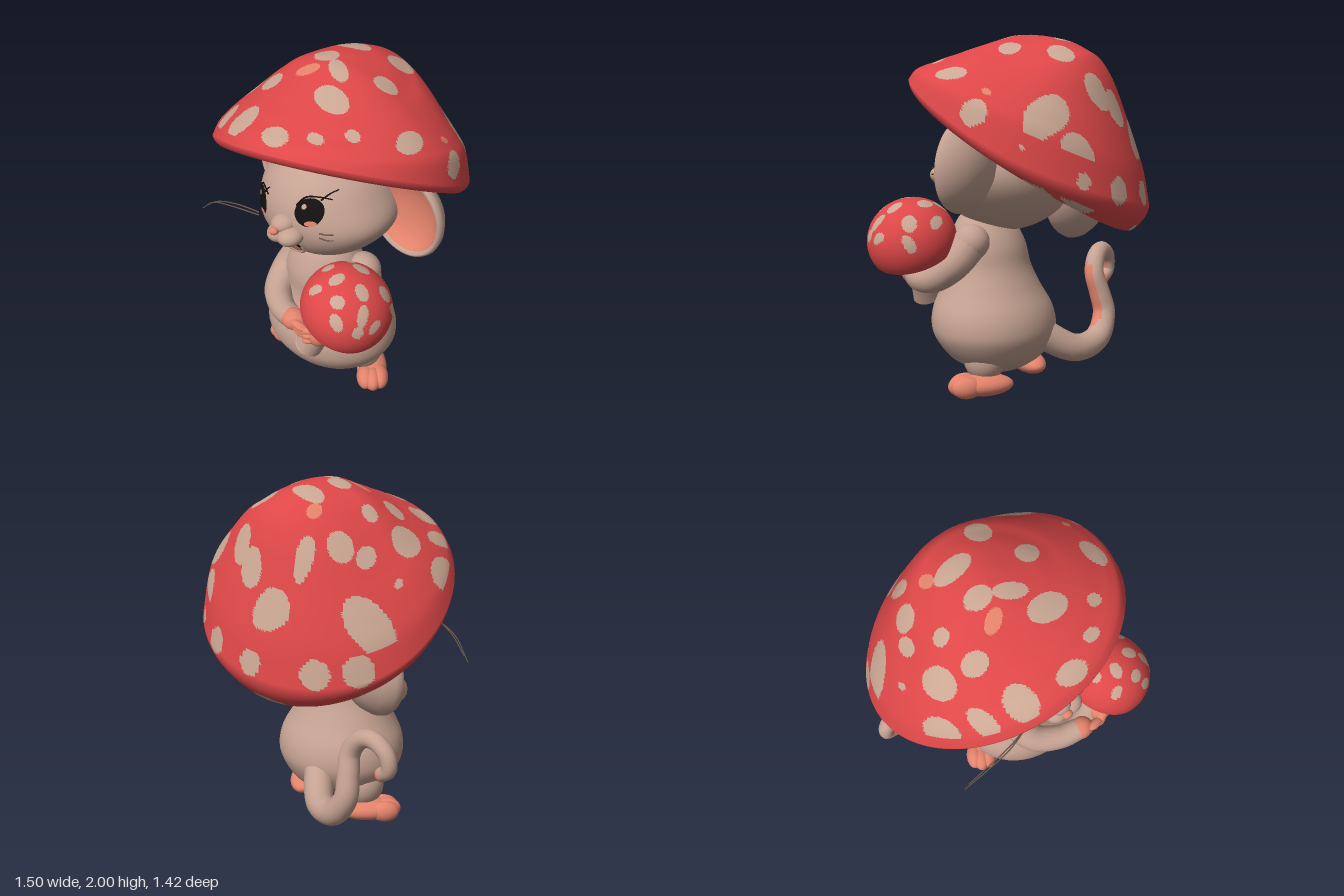
import * as THREE from 'three';
import { mergeVertices } from 'three/addons/utils/BufferGeometryUtils.js';

const V = (x, y, z) => new THREE.Vector3(x, y, z);
const flat = (name, color) => {
  const m = new THREE.MeshStandardMaterial({ color });
  m.name = name;
  return m;
};

export function createModel() {
  const fur = flat('fur', 0xc5a292), pink = flat('pink skin', 0xe3836b), red = flat('cap red', 0xde4748);
  const spot = flat('cap spot', 0xcba793), gill = flat('gill', 0xab9585), black = flat('eye black', 0x141010);
  const whiskerMat = flat('whisker', 0x6b564b);
  const root = new THREE.Group();
  root.name = 'mushroomMouse';

  // ---------- helpers ----------
  const add = (name, geo, mat, parent = root) => {
    const m = new THREE.Mesh(geo, mat);
    m.name = name;
    parent.add(m);
    return m;
  };
  const ball = (name, p, s, mat, parent = root, rot = [0, 0, 0]) => {
    const m = add(name, new THREE.SphereGeometry(1, 32, 22), mat, parent);
    m.position.set(...p); m.scale.set(...s); m.rotation.set(...rot);
    return m;
  };
  const smooth = (g) => {
    g.deleteAttribute('uv'); g.deleteAttribute('normal');
    g = mergeVertices(g, 1e-5);
    g.computeVertexNormals();
    return g;
  };
  // Sort faces into material groups by a rule on face centre and normal
  const paint = (geo, count, pick) => {
    const b = Array.from({ length: count }, () => []), id = geo.index.array, t = new THREE.Triangle();
    for (let i = 0; i < id.length; i += 3) {
      t.setFromAttributeAndIndices(geo.attributes.position, id[i], id[i + 1], id[i + 2]);
      b[pick(t.getMidpoint(V()), t.getNormal(V()))].push(id[i], id[i + 1], id[i + 2]);
    }
    geo.setIndex(b.flat());
    let start = 0;
    b.forEach((f, i) => { geo.addGroup(start, f.length, i); start += f.length; });
    return geo;
  };
  // Closed ring surface: fn(u, angle, j) -> [x, y, z]
  const rings = (nu, nv, fn) => {
    const p = [], id = [];
    for (let i = 0; i <= nu; i++) for (let j = 0; j < nv; j++) p.push(...fn(i / nu, j / nv * Math.PI * 2, j));
    for (let i = 0; i < nu; i++) for (let j = 0; j < nv; j++) {
      const k = (j + 1) % nv, a = i * nv + j, b = i * nv + k, c = a + nv, d = b + nv;
      id.push(a, b, c, b, d, c);
    }
    const g = new THREE.BufferGeometry();
    g.setAttribute('position', new THREE.Float32BufferAttribute(p, 3));
    g.setIndex(id);
    g.computeVertexNormals();
    return g;
  };
  // Tube whose radius runs from r0 to r1
  const taper = (pts, r0, r1, n = 32, sides = 16) => {
    const c = new THREE.CatmullRomCurve3(pts.map((p) => V(...p)));
    const g = new THREE.TubeGeometry(c, n, 1, sides), pos = g.attributes.position, v = V();
    for (let i = 0; i < pos.count; i++) {
      const u = Math.floor(i / (sides + 1)) / n, o = c.getPointAt(u);
      v.fromBufferAttribute(pos, i).sub(o).multiplyScalar(r0 + (r1 - r0) * u).add(o);
      pos.setXYZ(i, v.x, v.y, v.z);
    }
    return smooth(g);
  };
  const inSpots = (list, x, z) => list.some(([cx, cz, rx, rz, a = 0]) => {
    const c = Math.cos(a), s = Math.sin(a), dx = x - cx, dz = z - cz;
    return ((dx * c + dz * s) / rx) ** 2 + ((dz * c - dx * s) / rz) ** 2 < 1;
  });

  // ---------- big cap: tilted oval rim, four blended side profiles ----------
  const knots = [0, .15, .35, .5, .6, .7, .8, .88, .95, 1];
  const profiles = [
    [1, .97, .88, .77, .70, .61, .51, .42, .30, 0],
    [1, .97, .77, .62, .51, .42, .31, .24, .14, 0],
    [1, .98, .90, .77, .66, .54, .42, .30, .17, 0],
    [1, .99, .96, .91, .86, .74, .54, .37, .2, 0],
  ].map((f) => new THREE.SplineCurve(f.map((y, i) => new THREE.Vector2(knots[i], y))));
  const capXZ = (r, a) => [-.015 + .73 * r * Math.cos(a), -.055 + .655 * r * Math.sin(a)];
  const plane = (x, z) => 1.4 + .18 * x + .58 * z;
  // Rim curls under further at the back
  const rim = (a) => {
    const b = Math.max(0, -Math.sin(a)) ** 2;
    return { y: plane(...capXZ(1, a)) + .1 * b, drop: .055 + .09 * b, inset: .035 + .1 * b };
  };
  const capGeo = rings(120, 230, (u, a) => {
    const t = u * 1.08, e = rim(a);
    if (t > 1) {
      const k = (t - 1) / .08, [x, z] = capXZ(1 - e.inset * k * k, a);
      return [x, e.y - e.drop * k, z];
    }
    const c = Math.cos(a), s = Math.sin(a), w = [c, s, -c, -s].map((q) => Math.max(0, q) ** 2);
    let r = 0, f = 0;
    profiles.forEach((p, i) => { const q = p.getPoint(t); r += w[i] * q.x; f += w[i] * q.y; });
    const [x, z] = capXZ(r, a);
    return [x, e.y + (1.995 - e.y) * f, z];
  });
  const spots = [
    [-.19, -.6, .11, .035, -.35], [0, -.57, .08, .035, .1], [.13, -.52, .08, .04, .4], [.42, -.55, .11, .045, .5],
    [.48, -.4, .14, .055, .5], [.17, -.33, .07, .075], [-.08, -.245, .11, .06, .05], [-.28, -.45, .042, .06, .2],
    [-.375, -.29, .05, .07, .5], [-.46, -.19, .033, .06, .1], [-.6, -.3, .14, .055, -.75], [-.34, -.05, .04, .045],
    [-.595, -.09, .013, .03], [-.48, .08, .065, .1, -.2], [-.61, .23, .05, .11, -.3], [-.45, .37, .045, .1, -.2],
    [-.265, .44, .075, .1, -.2], [-.31, .16, .07, .055, .5], [-.1, -.04, .075, .06, .2], [.04, .04, .09, .045, .6],
    [.13, .21, .11, .07, .2], [.26, -.07, .065, .06], [.55, .12, .053, .09], [.35, .32, .04, .035],
  ].concat([[.21, .44, .05, .032], [.01, .51, .085, .055, .2]]);
  const warmSpots = [[-.2, -.31, .035, .045], [-.12, .09, .065, .04, -.4], [.6, -.12, .018, .025]];
  // Round spots low on the steep sides
  const sideSpots = [[.66, 1.59, -.09, .075], [-.47, 1.13, -.56, .08], [-.63, 1.15, -.4, .085], [.18, 1.18, -.68, .075],
    [.42, 1.25, -.6, .05], [-.12, 1.14, -.7, .07], [.6, 1.42, -.32, .035]].map(([x, y, z, r]) => new THREE.Sphere(V(x, y, z), r));
  paint(capGeo, 3, (c) => {
    if (sideSpots.some((s) => s.containsPoint(c))) return 1;
    if (Math.hypot((c.x + .015) / .73, (c.z + .055) / .655) > .955) return 0;
    return inSpots(warmSpots, c.x, c.z) ? 2 : inSpots(spots, c.x, c.z) ? 1 : 0;
  });
  add('cap', capGeo, [red, spot, pink]);
  // Pleated underside
  const gills = rings(10, 160, (u, a, j) => {
    const e = rim(a), [x, z] = capXZ((1 - e.inset) * (1 - .8 * u), a), k = Math.min(1, u * 2.5);
    const pleat = (j % 2 ? .009 : -.004) * Math.min(1, u * 8);
    return [x, (e.y - e.drop) * (1 - k) + (plane(x, z) - .055 + .08 * u) * k + pleat, z];
  }).toNonIndexed();
  gills.computeVertexNormals();
  add('capGills', gills, gill);

  // ---------- body ----------
  const outline = [[0, .09], [.12, .1], [.22, .14], [.31, .2], [.38, .3], [.395, .38], [.375, .47], [.315, .58],
    [.265, .7], [.245, .82], [.2, .92], [.13, 1], [0, 1.03]];
  const curve = new THREE.SplineCurve(outline.map((p) => new THREE.Vector2(...p)));
  const prof = curve.getPoints(60).map((p) => new THREE.Vector2(Math.max(0, p.x), p.y));
  prof[0].x = prof[60].x = 0;
  const bodyGeo = new THREE.LatheGeometry(prof, 48), bp = bodyGeo.attributes.position;
  for (let i = 0; i < bp.count; i++) {
    const y = bp.getY(i);
    bp.setXYZ(i, bp.getX(i) + .07, y, bp.getZ(i) * .87 + .14 + .1 * (y - .4));
  }
  add('body', smooth(bodyGeo), fur);

  // ---------- legs and splayed feet ----------
  for (const [side, x] of [[1, .325], [-1, -.235]]) {
    ball('leg', [x - side * .06, .2, .09], [.115, .13, .12], fur);
    const foot = new THREE.Group();
    foot.name = 'foot';
    foot.position.set(x, 0, .08);
    foot.rotation.y = side * .7;
    root.add(foot);
    ball('footSole', [0, .063, -.01], [.09, .063, .175], pink, foot);
    for (const t of [-1, 0, 1]) ball('toe', [t * .042, .062, .1 - Math.abs(t) * .015], [.052, .062, .085], pink, foot);
  }

  // ---------- tail ----------
  const tail = taper([[0, .32, -.1], [-.18, .2, -.26], [-.36, .23, -.32], [-.455, .36, -.32], [-.445, .48, -.295],
    [-.43, .6, -.265], [-.49, .69, -.25], [-.58, .715, -.245], [-.675, .66, -.24], [-.69, .575, -.235],
    [-.635, .53, -.23]], .09, .04, 70, 20);
  paint(tail, 2, (c, n) => (n.x * .87 + n.z * .5 > .68 && c.y > .23 && c.y < .66 ? 1 : 0));
  add('tail', tail, [fur, pink]);
  ball('tailTip', [-.635, .53, -.23], [.041, .041, .041], pink);

  // ---------- arms and hands ----------
  const arms = [
    [[-.06, .88, .2], [-.13, .76, .27], [-.1, .68, .41], [.02, .67, .51], [.12, .69, .55]],
    [[.3, .86, .15], [.37, .74, .22], [.385, .65, .35], [.36, .64, .46], [.29, .67, .53]],
  ];
  for (const pts of arms) {
    add('arm', taper(pts, .1, .064), fur);
    ball('shoulder', pts[0], [.101, .101, .101], fur);
  }
  ball('hand', [.135, .69, .555], [.075, .06, .065], pink);
  ball('hand', [.3, .67, .545], [.065, .08, .065], pink);
  for (let i = 0; i < 3; i++) {
    ball('finger', [.21, .712 - i * .03, .6 - i * .008], [.055, .022, .026], pink, root, [0, .1, -.25]);
    ball('finger', [.275, .71 - i * .035, .585], [.05, .022, .03], pink, root, [0, .4, .4]);
  }

  // ---------- held mushroom ----------
  const held = new THREE.Group();
  held.name = 'heldMushroom';
  held.position.set(.425, .87, .46);
  held.rotation.z = -.48;
  root.add(held);
  const heldSpots = [[.02, .03, .05, .035, .4], [-.12, .06, .03, .045], [.11, .1, .05, .03, .8], [-.03, .15, .04, .03],
    [.04, .205, .045, .02], [-.16, .145, .03, .022, .7], [.19, .06, .02, .04], [.1, -.1, .045, .04], [-.08, -.1, .05, .035],
    [-.205, 0, .02, .04], [.15, .15, .03, .02, -.7], [0, -.2, .05, .02], [-.16, -.13, .03, .03], [.18, -.12, .025, .035]];
  const heldCap = rings(50, 110, (u, a) => {
    const t = u * 1.85;
    return [.25 * Math.sin(t) * Math.cos(a), .23 * Math.cos(t), .25 * Math.sin(t) * Math.sin(a)];
  });
  add('heldCap', paint(heldCap, 2, (c) => (c.y > .06 && inSpots(heldSpots, c.x, c.z) ? 1 : 0)), [red, spot], held);
  add('heldGills', rings(6, 60, (u, a) => {
    const r = .241 * (1 - u);
    return [r * Math.cos(a), -.0634 + .05 * u, r * Math.sin(a)];
  }), gill, held);
  add('heldStem', taper([[.2, .5, .51], [.25, .6, .5], [.33, .74, .48], [.42, .88, .46]], .08, .058), fur);
  ball('stemBase', [.2, .505, .51], [.081, .03, .081], fur, root, [0, 0, -.45]);

  // ---------- head: rolled and turned a little, fuller at the cheeks ----------
  const head = new THREE.Group();
  head.name = 'head';
  head.position.set(.02, 1.24, .1);
  head.rotation.set(0, -.2, .25);
  root.add(head);
  const R = [.38, .34, .37];
  const full = (y) => 1 + .15 * Math.exp(-(((y + .14) / .13) ** 2));
  const faceZ = (x, y) => R[2] * Math.sqrt(Math.max(0, 1 - (x / full(y) / R[0]) ** 2 - (y / R[1]) ** 2));
  const skull = new THREE.SphereGeometry(1, 64, 48).scale(...R), sp = skull.attributes.position;
  for (let i = 0; i < sp.count; i++) sp.setX(i, sp.getX(i) * full(sp.getY(i)));
  add('skull', smooth(skull), fur, head);

  // Thin patches that follow the face
  const decal = (name, x, y, rx, ry, mat, off) => {
    const g = new THREE.RingGeometry(0, 1, 28, 5), p = g.attributes.position;
    for (let i = 0; i < p.count; i++) {
      const px = x + p.getX(i) * rx, py = y + p.getY(i) * ry;
      p.setXYZ(i, px, py, faceZ(px, py) + off);
    }
    g.computeVertexNormals();
    add(name, g, mat, head);
  };
  const line = (name, pts, r, mat) => add(name, taper(pts, r, r * .6, 14, 6), mat, head);
  for (const s of [1, -1]) {
    const x = s * .178 + .038, on = (dx, dy) => [x + dx, .06 + dy, faceZ(x + dx, .06 + dy) + .004];
    decal('eye', x, .06, .068, .075, black, .005);
    decal('eyeGlint', x - .018, .095, .012, .014, spot, .009);
    decal('eyeGlow', x + .012, .004, .03, .015, pink, .009);
    line('upperLid', [on(-.06, .04), on(-.02, .08), on(.04, .075), on(.085, .055)], .006, black);
    line('eyelash', [on(.045, .06), on(.07, .085), on(.09, .095)], .005, black);
    ball('muzzle', [.06 + s * .046, -.078, .365], [.07, .054, .075], fur, head);
    // Ear: dished shell with pink lining
    const ear = new THREE.Group();
    ear.name = 'ear';
    ear.position.set(s > 0 ? .475 : -.535, -.055, -.165);
    ear.rotation.y = s > 0 ? .15 : 0;
    ear.scale.set(s > 0 ? .95 : 1.08, 1.02, 1);
    head.add(ear);
    const lathe = (pts) => smooth(new THREE.LatheGeometry(pts.map((p) => new THREE.Vector2(...p)), 48)).rotateX(Math.PI / 2);
    add('earShell', lathe([[0, -.11], [.08, -.103], [.15, -.078], [.21, -.035], [.243, .012], [.25, .04], [.243, .06],
      [.23, .066], [.216, .05]]), fur, ear);
    add('earLining', lathe([[.216, .05], [.2, .02], [.15, -.005], [.08, -.02], [0, -.025]]), pink, ear);
  }
  decal('cheekBlush', -.262, -.05, .034, .036, pink, .005);
  ball('nose', [.06, -.03, .435], [.03, .022, .024], pink, head);
  ball('noseBridge', [.055, -.015, .35], [.07, .055, .078], fur, head);

  // Open mouth with tongue and lower lip
  decal('mouth', .055, -.155, .062, .06, black, .012);
  decal('tongue', .062, -.172, .046, .036, pink, .018);
  line('lowerLip', [-1, -.8, -.4, 0, .4, .8, 1].map((k) => {
    const x = .055 + k * .068, y = -.15 - .068 * Math.sqrt(1 - k * k);
    return [x, y, faceZ(x, y) + .01];
  }), .016, fur);

  // Whiskers: long on one side, short on the other
  const whiskers = [
    [[-.2, 1.17, .43], [-.36, 1.17, .46], [-.52, 1.12, .45], [-.65, 1.0, .42]],
    [[-.2, 1.19, .43], [-.34, 1.19, .45], [-.5, 1.13, .44], [-.62, 1.03, .42]],
    [[.22, 1.25, .43], [.26, 1.255, .425], [.3, 1.265, .41]],
    [[.22, 1.22, .43], [.26, 1.22, .425], [.3, 1.225, .41]],
  ];
  for (const w of whiskers) add('whisker', taper(w, .0045, .003, 20, 6), whiskerMat);
  return root;
}
